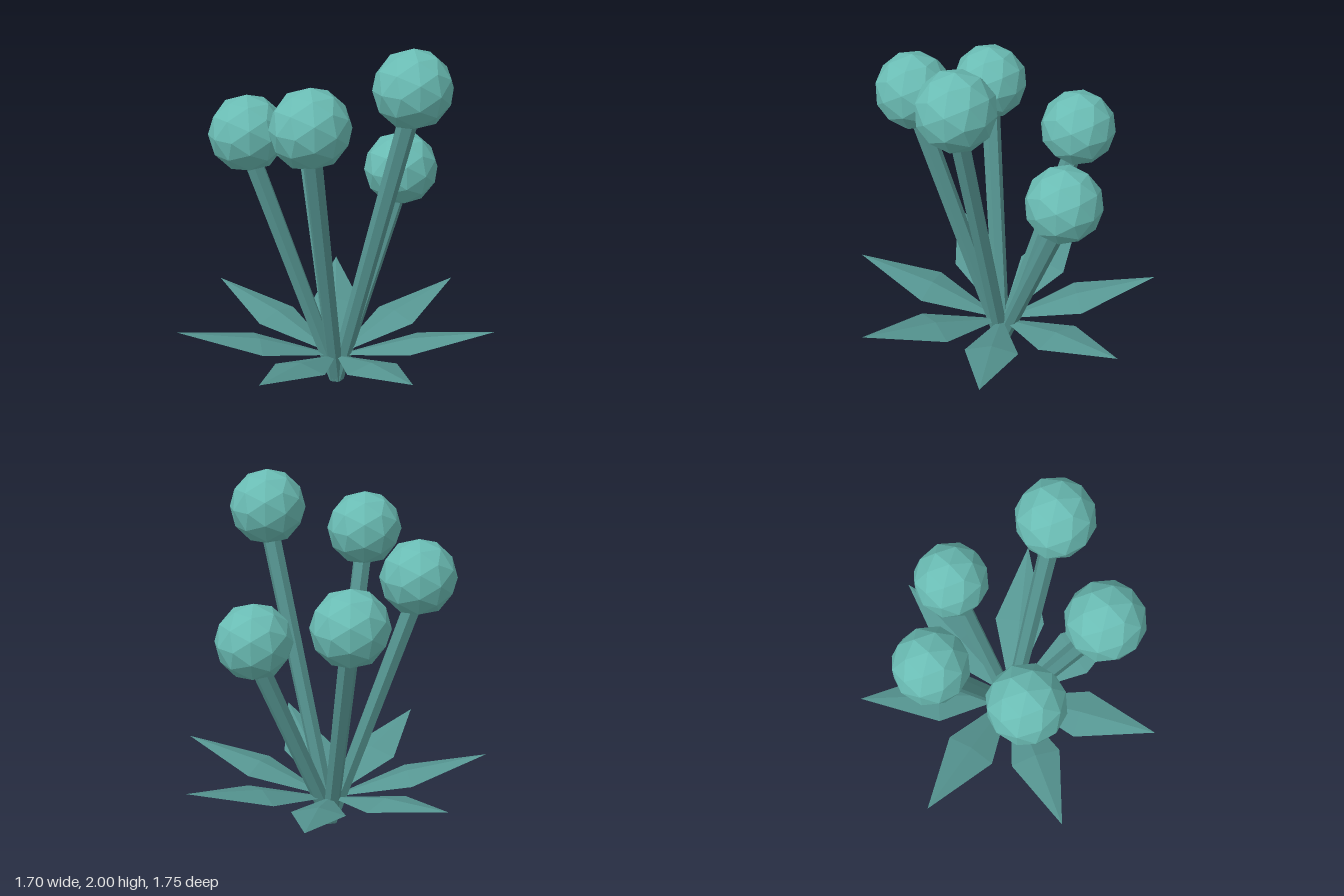
import * as THREE from 'three';

const headTeal = new THREE.MeshStandardMaterial({ color: 0x6abcb4, flatShading: true });
headTeal.name = 'headTeal';
const stemTeal = new THREE.MeshStandardMaterial({ color: 0x569692, flatShading: true });
stemTeal.name = 'stemTeal';

const STEMS = 5, LEAVES = 7;
const SPREAD = 0.47;      // distance of the heads from the middle
const LEAF_REACH = 0.895; // distance of the leaf tips from the middle

function part(name, geometry, material) {
  const mesh = new THREE.Mesh(geometry, material);
  mesh.name = name;
  return mesh;
}

// Six-sided stem leaning outwards along +x, with a faceted ball on top
function makeStalk(headY) {
  const stalk = new THREE.Group();
  stalk.name = 'stalk';
  const base = new THREE.Vector3(0, 0.02, 0);
  const end = new THREE.Vector3(SPREAD, headY - 0.08, 0);
  const stem = part('stem', new THREE.CylinderGeometry(0.053, 0.045, base.distanceTo(end), 6), stemTeal);
  stem.position.lerpVectors(base, end, 0.5);
  stem.rotation.z = -Math.atan2(end.x - base.x, end.y - base.y);
  const head = part('flowerHead', new THREE.IcosahedronGeometry(0.21, 1), headTeal);
  head.position.set(SPREAD, headY, 0);
  stalk.add(stem, head);
  return stalk;
}

// Thin diamond leaf rising outwards along +x
function makeLeaf() {
  const rise = 0.24;
  const geometry = new THREE.OctahedronGeometry(1);
  geometry.scale(Math.hypot(LEAF_REACH, rise) / 2, 0.035, 0.15);
  geometry.rotateZ(Math.atan2(rise, LEAF_REACH));
  geometry.translate(LEAF_REACH / 2, 0.16 + rise / 2, 0);
  return part('leaf', geometry, stemTeal);
}

export function createModel() {
  const plant = new THREE.Group();
  plant.name = 'plant';

  // Flower stalks, each taller than the one before
  for (let i = 0; i < STEMS; i++) {
    const stalk = makeStalk(1.19 + i * 0.15);
    stalk.rotation.y = (i / STEMS) * Math.PI * 2;
    // keep every ball aligned the same way
    stalk.children[1].rotation.y = -stalk.rotation.y;
    plant.add(stalk);
  }

  // Ring of leaves near the ground
  for (let i = 0; i < LEAVES; i++) {
    const leaf = makeLeaf();
    leaf.rotation.y = (i / LEAVES) * Math.PI * 2;
    plant.add(leaf);
  }

  plant.position.x = -0.05;
  const model = new THREE.Group();
  model.name = 'ballFlowerPlant';
  model.add(plant);
  return model;
}
